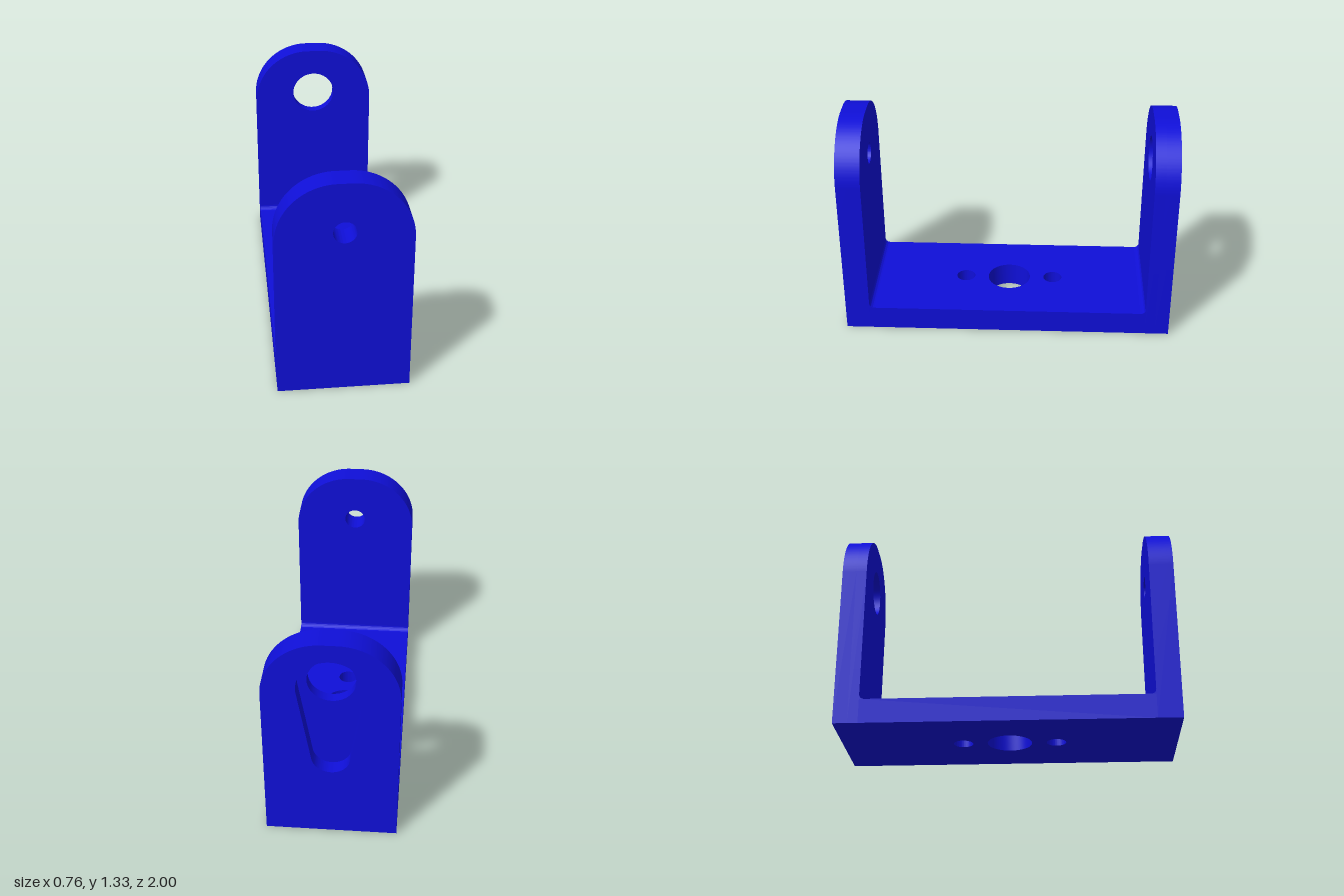
import * as THREE from 'three';
import { toCreasedNormals } from 'three/addons/utils/BufferGeometryUtils.js';

const HALF_W = 0.38, HEIGHT = 1.325, T = 0.147, CORNER = 0.34;
const PIVOT_Y = 1.03, RECESS = 0.085, FILLET = 0.03;
const INNER_Z = 1 - T;

const material = new THREE.MeshStandardMaterial({ color: 0x0f0fd8 });

function extrude(shape, depth) {
  const geo = new THREE.ExtrudeGeometry(shape, { depth, bevelEnabled: false, curveSegments: 32 });
  return toCreasedNormals(geo, 0.5);
}

function addPart(group, name, geometry) {
  const mesh = new THREE.Mesh(geometry, material);
  mesh.name = name;
  group.add(mesh);
  return mesh;
}

function circle(x, y, r) {
  return new THREE.Path().absarc(x, y, r, 0, Math.PI * 2, false);
}

// Upright plate outline with two large rounded top corners
function plateShape(hole) {
  const s = new THREE.Shape();
  const cx = HALF_W - CORNER, cy = HEIGHT - CORNER;
  s.moveTo(-HALF_W, 0);
  s.lineTo(HALF_W, 0);
  s.absarc(cx, cy, CORNER, 0, Math.PI / 2, false);
  s.absarc(-cx, cy, CORNER, Math.PI / 2, Math.PI, false);
  s.closePath();
  s.holes.push(hole);
  return s;
}

// Tapered pocket: a large and a small circle joined by tangents
function taperedSlot(topR, bottomY, bottomR) {
  const a = Math.asin((topR - bottomR) / (PIVOT_Y - bottomY));
  const p = new THREE.Path();
  p.absarc(0, PIVOT_Y, topR, -a, Math.PI + a, false);
  p.absarc(0, bottomY, bottomR, Math.PI + a, Math.PI * 2 - a, false);
  p.closePath();
  return p;
}

export function createModel() {
  const group = new THREE.Group();
  group.name = 'bracket';

  // Base plate with a centre hole and two screw holes
  const base = new THREE.Shape();
  base.moveTo(-HALF_W, -INNER_Z);
  base.lineTo(HALF_W, -INNER_Z);
  base.lineTo(HALF_W, INNER_Z);
  base.lineTo(-HALF_W, INNER_Z);
  base.closePath();
  base.holes.push(circle(0, 0, 0.133), circle(0, 0.278, 0.058), circle(0, -0.278, 0.058));
  addPart(group, 'basePlate', extrude(base, T).rotateX(-Math.PI / 2));

  // Front upright with a small pivot hole
  addPart(group, 'frontPlate', extrude(plateShape(circle(0, PIVOT_Y, 0.065)), T)).position.z = INNER_Z;

  // Back upright: inner layer with a round hole, outer layer with the tapered pocket
  addPart(group, 'backPlateInner', extrude(plateShape(circle(0, PIVOT_Y, 0.135)), T - RECESS)).position.z = -1 + RECESS;
  addPart(group, 'backPlatePocket', extrude(plateShape(taperedSlot(0.187, 0.56, 0.11)), RECESS)).position.z = -1;

  // Small fillets where the uprights meet the base
  const f = new THREE.Shape();
  f.moveTo(0, 0);
  f.lineTo(FILLET, 0);
  f.absarc(FILLET, FILLET, FILLET, -Math.PI / 2, -Math.PI, true);
  f.closePath();
  const filletGeo = extrude(f, HALF_W * 2).rotateY(Math.PI / 2).translate(-HALF_W, T, INNER_Z);
  addPart(group, 'frontFillet', filletGeo);
  addPart(group, 'backFillet', filletGeo).rotation.y = Math.PI;

  return group;
}
